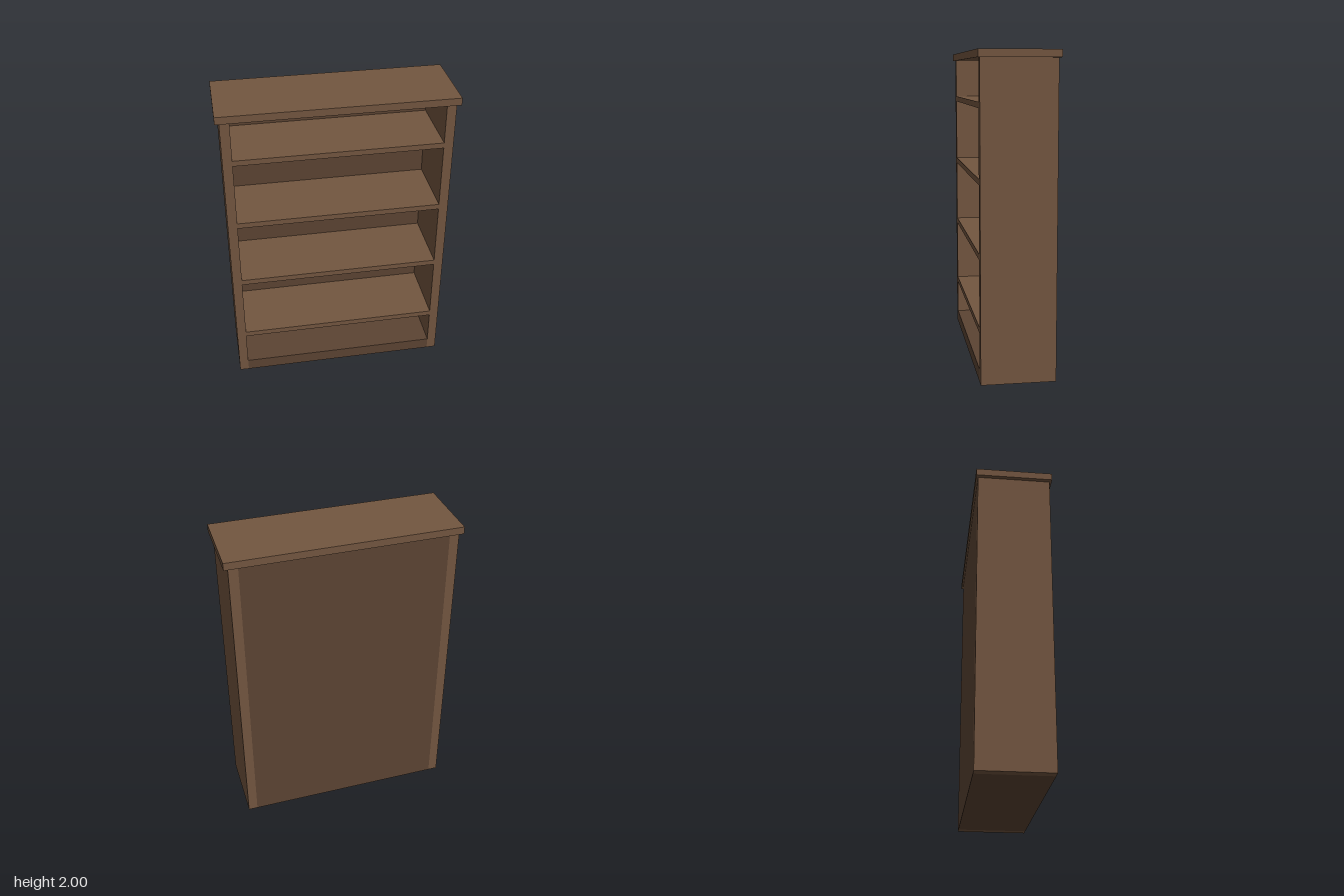
import * as THREE from 'three';

export function createModel() {
  const model = new THREE.Group();
  const wood = new THREE.MeshStandardMaterial({ color: 0x735640 });
  const darkWood = new THREE.MeshStandardMaterial({ color: 0x5c4433 });

  // Box given by its size, centre x, bottom y and centre z
  function board(name, [w, h, d], [x, y, z], material = wood) {
    const mesh = new THREE.Mesh(new THREE.BoxGeometry(w, h, d), material);
    mesh.name = name;
    mesh.position.set(x, y + h / 2, z);
    model.add(mesh);
  }

  const depth = 0.464, backThickness = 0.02;
  const inner = 1.296, sideThickness = 0.06;
  const topY = 1.953;

  // Upright sides
  for (const s of [-1, 1]) {
    board(s > 0 ? 'leftSide' : 'rightSide', [sideThickness, topY, depth],
      [s * (inner + sideThickness) / 2, 0, 0]);
  }

  // Overhanging top, plinth and back panel
  board('top', [1.468, 2 - topY, 0.49], [0, topY, 0]);
  board('base', [inner, 0.08, depth], [0, 0, 0], darkWood);
  board('backPanel', [inner, topY - 0.08, backThickness],
    [0, 0.08, (backThickness - depth) / 2], darkWood);

  // Evenly spaced shelves in front of the back panel
  for (let i = 0; i < 4; i++) {
    board('shelf' + (i + 1), [inner, 0.036, depth - backThickness],
      [0, 0.309 + i * 0.451, backThickness / 2]);
  }

  return model;
}
